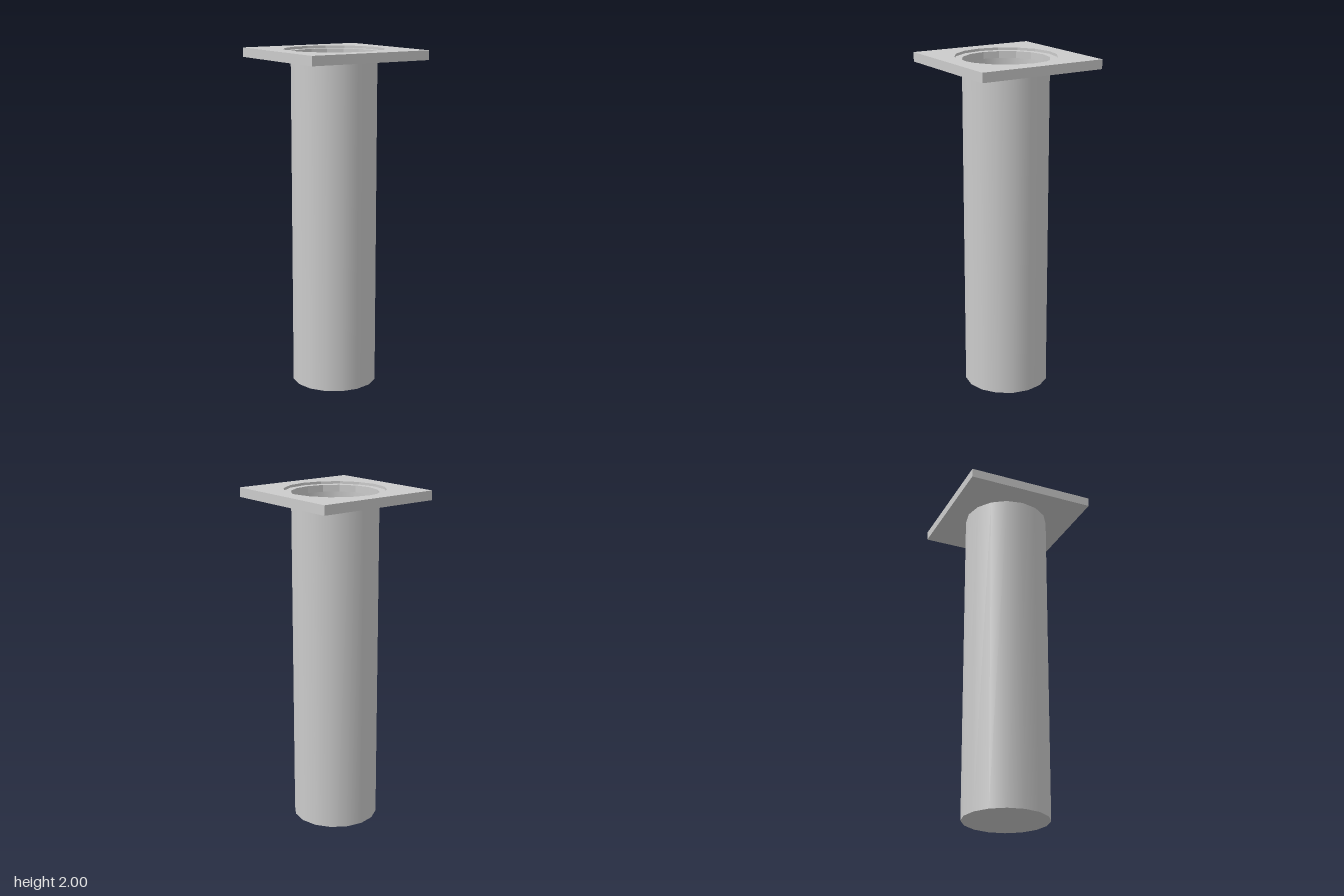
import * as THREE from 'three';

const SIDES = 16;
const TUBE_R = 0.253, SEAT_R = 0.295, HALF = 0.388;
const TOP = 2, LEDGE = 1.985, UNDER = 1.945;

export function createModel() {
  const group = new THREE.Group();
  const solid = new THREE.MeshStandardMaterial({ color: 0xcccccc });
  const thin = new THREE.MeshStandardMaterial({ color: 0xcccccc, side: THREE.DoubleSide });

  const add = (name, geometry, material, y) => {
    const mesh = new THREE.Mesh(geometry, material);
    mesh.name = name;
    mesh.position.y = y;
    group.add(mesh);
  };

  // One layer of the square plate, with a 16-sided hole
  const plateLayer = (holeRadius, depth) => {
    const shape = new THREE.Shape([[-1, -1], [1, -1], [1, 1], [-1, 1]]
      .map(([x, y]) => new THREE.Vector2(x * HALF, y * HALF)));
    const hole = [];
    for (let i = 0; i < SIDES; i++) {
      const a = -i / SIDES * Math.PI * 2;
      hole.push(new THREE.Vector2(Math.cos(a) * holeRadius, Math.sin(a) * holeRadius));
    }
    shape.holes.push(new THREE.Path(hole));
    return new THREE.ExtrudeGeometry(shape, { depth, bevelEnabled: false, steps: 1 })
      .rotateX(-Math.PI / 2);
  };

  // Flange: the wider upper hole leaves a shallow recessed ledge round the mouth
  add('flangeBase', plateLayer(TUBE_R, LEDGE - UNDER), solid, UNDER);
  add('flangeRecess', plateLayer(SEAT_R, TOP - LEDGE), solid, LEDGE);

  // Thin-walled hollow tube, open at the top
  add('tube', new THREE.CylinderGeometry(TUBE_R, TUBE_R, UNDER, SIDES, 1, true), thin, UNDER / 2);

  // Closed bottom of the tube
  add('tubeBottom', new THREE.CircleGeometry(TUBE_R, SIDES).rotateX(Math.PI / 2), thin, 0);

  return group;
}
